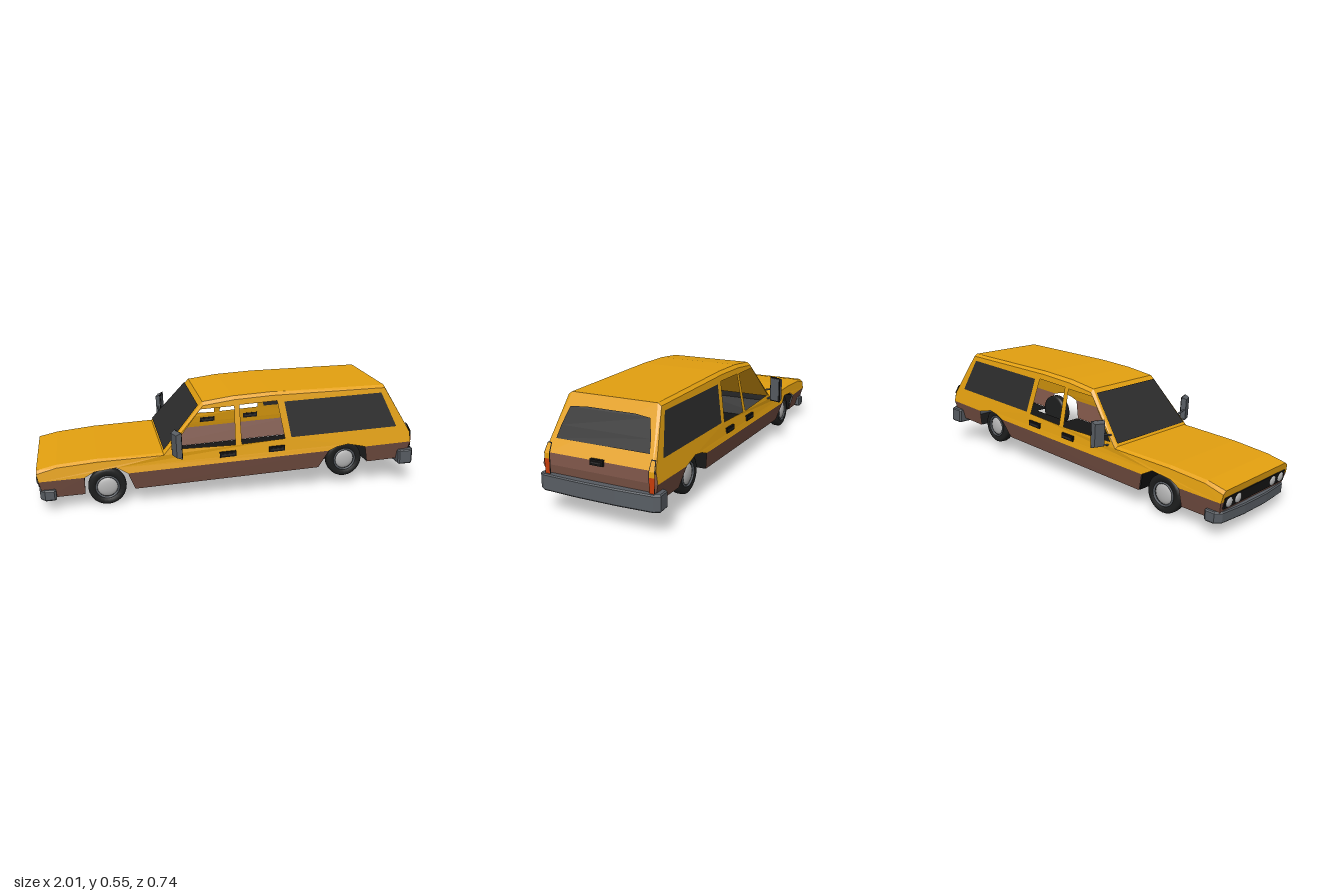
import * as THREE from 'three';

const mat = (name, color, side = THREE.DoubleSide) => {
  const m = new THREE.MeshStandardMaterial({ color, side });
  m.name = name;
  return m;
};

export function createModel() {
  const yellow = mat('yellowPaint', 0xe3a010);
  const brown = mat('brownPaint', 0x7c5447);
  const glass = mat('darkGlass', 0x2c2c2c);
  const black = mat('blackTrim', 0x151515);
  const grey = mat('bumperGrey', 0x585d63);
  const rubber = mat('tyreRubber', 0x1e1f1f);
  const chrome = mat('hubSilver', 0xb9b9b9);
  const red = mat('tailRed', 0xc43c0a);

  const car = new THREE.Group();
  car.name = 'wagon';
  const add = (name, geo, material, parent = car) => {
    const m = new THREE.Mesh(geo, material);
    m.name = name;
    parent.add(m);
    return m;
  };

  // Half width of the body at a length x and height y
  const halfWidth = (x, y) => {
    const taper = x < -0.4 ? 1 - 0.075 * (-0.4 - x) / 0.6 : 1;
    const w = y < 0.2 ? 0.268 + 0.29 * (y - 0.1) : 0.297 - 0.1875 * (y - 0.2);
    return w * taper;
  };

  // Flat-faced surface through rows of points
  const grid = rows => {
    const p = [];
    for (let i = 0; i + 1 < rows.length; i++) {
      for (let j = 0; j + 1 < rows[i].length; j++) {
        const a = rows[i][j], b = rows[i][j + 1], c = rows[i + 1][j + 1], d = rows[i + 1][j];
        p.push(...a, ...b, ...c, ...a, ...c, ...d);
      }
    }
    const g = new THREE.BufferGeometry();
    g.setAttribute('position', new THREE.Float32BufferAttribute(p, 3));
    g.computeVertexNormals();
    return g;
  };

  // Body skin stations: x, edge height, crown height
  const nose = [[-0.967, 0.1, 0.1], [-0.985, 0.2, 0.2]];
  const top = [[-0.985, 0.2, 0.2], [-0.99, 0.24, 0.255], [-0.89, 0.262, 0.273], [-0.69, 0.272, 0.283],
    [-0.36, 0.272, 0.28], [-0.14, 0.5, 0.516], [0.02, 0.514, 0.53], [0.22, 0.517, 0.532],
    [0.84, 0.5, 0.512], [0.972, 0.255, 0.255]];
  const tail = [[0.972, 0.255, 0.255], [0.976, 0.2, 0.2], [0.955, 0.1, 0.1]];
  const skin = stations => grid(stations.map(([x, e, t]) => {
    const w = halfWidth(x, e), v = w - 0.018;
    return [[x, e, -w], [x, t, -v], [x, t, v], [x, e, w]];
  }));
  add('nosePanel', skin(nose), brown);
  add('hood', skin(top.slice(0, 5)), yellow);
  add('windshieldFrame', skin(top.slice(4, 6)), yellow);
  add('roof', skin(top.slice(5, 9)), yellow);
  add('tailgateFrame', skin(top.slice(8)), yellow);
  add('tailPanel', skin(tail), brown);

  // Side panels: outlines in x, y laid onto the body width
  const vec = pts => pts.map(([x, y]) => new THREE.Vector2(x, y));
  const sidePanel = (name, pts, material, holes = []) => {
    for (const s of [1, -1]) {
      const shape = new THREE.Shape(vec(pts));
      shape.holes = holes.map(h => new THREE.Path(vec(h)));
      const g = new THREE.ShapeGeometry(shape).toNonIndexed();
      const p = g.attributes.position;
      for (let i = 0; i < p.count; i++) p.setZ(i, s * halfWidth(p.getX(i), p.getY(i)));
      if (s < 0) {
        for (let i = 0; i < p.count; i += 3) {
          const a = [p.getX(i), p.getY(i), p.getZ(i)];
          p.setXYZ(i, p.getX(i + 1), p.getY(i + 1), p.getZ(i + 1));
          p.setXYZ(i + 1, ...a);
        }
      }
      g.computeVertexNormals();
      add(name, g, material);
    }
  };
  const frontWindow = [[-0.32, 0.298], [-0.155, 0.483], [0.02, 0.483], [0.012, 0.285]];
  const rearDoorWindow = [[0.046, 0.286], [0.048, 0.486], [0.247, 0.488], [0.277, 0.29]];
  const cargoWindow = [[0.312, 0.293], [0.285, 0.48], [0.82, 0.476], [0.898, 0.29]];
  const frontArch = [[-0.76, 0.2], [-0.71, 0.224], [-0.6, 0.234], [-0.545, 0.2]];
  const rearArch = [[0.513, 0.2], [0.56, 0.216], [0.62, 0.224], [0.716, 0.2]];
  sidePanel('upperSide', [...frontArch, ...rearArch, [0.976, 0.2], ...[...top].reverse().map(([x, e]) => [x, e])],
    yellow, [frontWindow, rearDoorWindow, cargoWindow]);
  sidePanel('cargoWindow', cargoWindow, glass);
  sidePanel('frontLowerSide', [[-0.967, 0.1], [-0.764, 0.1], [-0.76, 0.2], [-0.985, 0.2]], brown);
  sidePanel('middleLowerSide', [[-0.513, 0.1], [0.465, 0.1], [0.513, 0.2], [-0.545, 0.2]], brown);
  sidePanel('rearLowerSide', [[0.74, 0.1], [0.955, 0.1], [0.976, 0.2], [0.716, 0.2]], brown);

  // Windshield and rear window, laid just above the sloping skin
  const pane = (name, rows, material) => add(name, grid(rows.map(([x, y, w]) => [[x, y, -w], [x, y, w]])), material);
  pane('windshield', [[-0.356, 0.293, 0.262], [-0.163, 0.5, 0.222]], glass);
  pane('rearWindow', [[0.873, 0.461, 0.13], [0.878, 0.453, 0.208], [0.917, 0.374, 0.232], [0.945, 0.318, 0.242]], glass);

  // Floor with cut-outs for the rear wheels, and the front wheel tunnel
  const floorRows = [[-0.513, 0.262], [0.465, 0.262], [0.466, 0.17], [0.739, 0.17], [0.74, 0.262], [0.955, 0.262]];
  const deck = (name, rows) => add(name, grid(rows.map(([x, w]) => [[x, 0.101, w], [x, 0.101, -w]])), black);
  deck('floor', floorRows);
  deck('noseFloor', [[-0.967, 0.245], [-0.764, 0.252]]);
  add('frontWheelTunnel', grid([[-0.764, 0.1], ...frontArch, [-0.513, 0.1]].map(([x, y]) => {
    const w = halfWidth(x, y) - 0.006;
    return [[x, y, w], [x, y, -w]];
  })), black);

  // Bumpers: plan outlines extruded upwards
  const bumper = (name, half, height, y) => {
    const pts = [...half, ...[...half].reverse().map(([x, z]) => [x, -z])];
    const g = new THREE.ExtrudeGeometry(new THREE.Shape(vec(pts)), {
      depth: height - 0.012, bevelEnabled: true, bevelThickness: 0.006, bevelSize: 0.005, bevelOffset: -0.005, bevelSegments: 1 });
    g.rotateX(Math.PI / 2).translate(0, y + height - 0.006, 0);
    add(name, g, grey);
  };
  bumper('rearBumper', [[0.908, 0.298], [0.915, 0.308], [0.978, 0.312], [0.996, 0.285], [1.005, 0.1]], 0.08, 0.078);
  bumper('frontBumper', [[-0.905, 0.275], [-0.915, 0.282], [-0.96, 0.28], [-0.985, 0.25], [-0.999, 0.09]], 0.056, 0.094);

  // Grille and headlights
  const grille = add('grille', new THREE.BoxGeometry(0.008, 0.055, 0.5), black);
  grille.position.set(-0.985, 0.192, 0);
  grille.rotation.z = 0.1;
  for (const z of [-0.215, -0.145, 0.145, 0.215]) {
    const lamp = add('headlight', new THREE.SphereGeometry(0.025, 16, 10), chrome);
    lamp.scale.x = 0.4;
    lamp.position.set(-0.988, 0.192, z);
  }

  // Tail lights
  for (const s of [1, -1]) {
    const strip = (name, rows, material) => add(name, grid(rows.map(([x, y, a, b]) => {
      const r = [[x, y, s * a], [x, y, s * b]];
      return s > 0 ? r : r.reverse();
    })), material);
    strip('tailLightFrame', [[0.957, 0.3, 0.257, 0.28], [0.979, 0.255, 0.255, 0.287], [0.979, 0.15, 0.255, 0.285]], black);
    strip('tailLightUpper', [[0.961, 0.296, 0.26, 0.277], [0.982, 0.254, 0.259, 0.283], [0.982, 0.228, 0.259, 0.286]], yellow);
    strip('tailLightLower', [[0.982, 0.228, 0.259, 0.286], [0.982, 0.154, 0.259, 0.281]], red);
  }

  // Handles
  const handle = (x, y, z, w, d) => {
    const h = new THREE.Group();
    h.name = 'handle';
    h.position.set(x, y, z);
    add('handlePlate', new THREE.BoxGeometry(w, 0.028, d), black, h);
    add('handleGrip', new THREE.BoxGeometry(w * 0.8, 0.01, d * 1.6), glass, h);
    car.add(h);
    return h;
  };
  for (const s of [1, -1]) for (const x of [-0.03, 0.23]) handle(x, 0.243, s * 0.289, 0.085, 0.012);
  handle(0.975, 0.25, 0.005, 0.067, 0.016).rotation.y = Math.PI / 2;

  // Mirrors on two arms
  for (const s of [1, -1]) {
    const mirror = new THREE.Group();
    mirror.name = 'mirror';
    mirror.position.set(-0.3, 0.342, s * 0.34);
    mirror.rotation.y = s * 0.35;
    const shell = new THREE.BoxGeometry(0.026, 0.138, 0.07);
    const p = shell.attributes.position;
    for (let i = 0; i < p.count; i++) if (p.getX(i) < 0) p.setXYZ(i, p.getX(i), p.getY(i) * 0.85, p.getZ(i) * 0.75);
    shell.computeVertexNormals();
    add('mirrorShell', shell, grey, mirror);
    add('mirrorRim', new THREE.BoxGeometry(0.004, 0.138, 0.07), black, mirror).position.x = 0.013;
    add('mirrorGlass', new THREE.BoxGeometry(0.004, 0.124, 0.057), grey, mirror).position.x = 0.0155;
    car.add(mirror);
    for (const y of [0.283, 0.335]) {
      const arm = add('mirrorArm', new THREE.CylinderGeometry(0.005, 0.005, 0.065, 6), grey);
      arm.position.set(-0.312, y, s * 0.295);
      arm.rotation.x = s * (Math.PI / 2 - 0.25);
    }
  }

  // Wheels: turned tyre, rim ring and domed hub cap
  const tyre = new THREE.LatheGeometry(vec([[0.001, -0.024], [0.085, -0.026], [0.095, -0.02], [0.097, -0.01],
    [0.097, 0.01], [0.095, 0.02], [0.085, 0.026], [0.062, 0.024], [0.06, 0.014], [0.001, 0.014]]), 24);
  const rim = new THREE.TorusGeometry(0.057, 0.006, 6, 24).rotateX(Math.PI / 2).translate(0, 0.022, 0);
  const cap = new THREE.SphereGeometry(0.053, 20, 8, 0, Math.PI * 2, 0, Math.PI / 2).scale(1, 0.3, 1).translate(0, 0.014, 0);
  for (const x of [-0.651, 0.618]) for (const s of [1, -1]) {
    const wheel = new THREE.Group();
    wheel.name = 'wheel';
    add('tyre', tyre, rubber, wheel);
    add('rim', rim, grey, wheel);
    add('hubCap', cap, chrome, wheel);
    wheel.position.set(x, 0.122, s * 0.228);
    wheel.rotation.x = s * Math.PI / 2;
    car.add(wheel);
  }

  // Nose-down stance with a slight lean, set on the ground
  car.rotation.set(0.015, 0, 0.04);
  const model = new THREE.Group();
  model.name = 'stationWagon';
  model.add(car);
  model.updateMatrixWorld(true);
  const box = new THREE.Box3().setFromObject(model, true);
  const c = box.getCenter(new THREE.Vector3());
  car.position.set(-c.x, -box.min.y, -c.z);
  return model;
}
